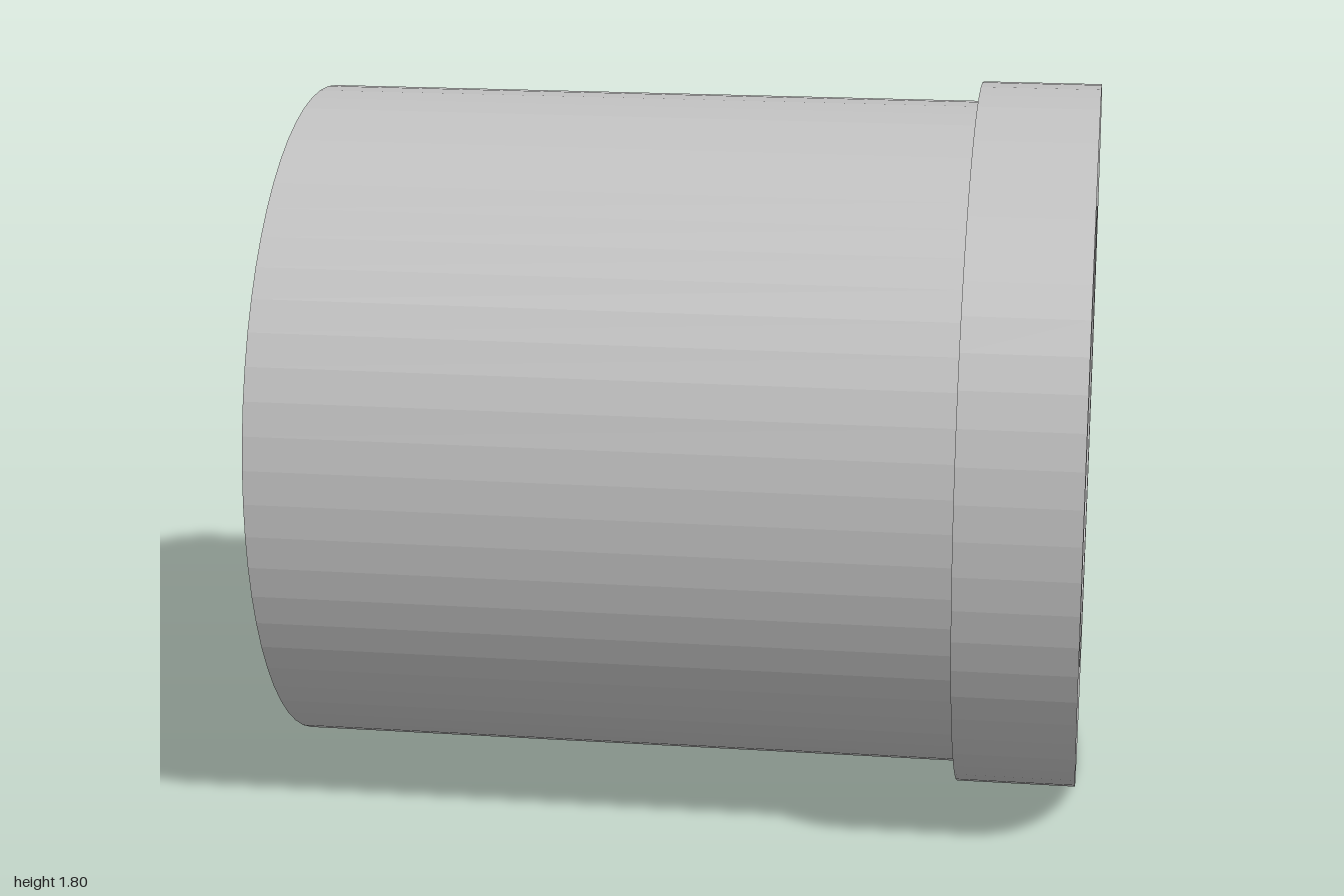
import * as THREE from 'three';
import { RoundedBoxGeometry } from 'three/addons/geometries/RoundedBoxGeometry.js';

const SEGMENTS = 64;
const AXIS_HEIGHT = 0.9;

// Closed ring-shaped solid turned about the x axis; profile is [radius, x]
function turned(name, profile, material) {
  const points = profile.map(([r, x]) => new THREE.Vector2(r, x));
  const mesh = new THREE.Mesh(new THREE.LatheGeometry(points, SEGMENTS), material);
  mesh.rotation.z = -Math.PI / 2;
  mesh.name = name;
  return mesh;
}

export function createModel() {
  const metal = new THREE.MeshStandardMaterial({ color: 0xc0c0c0, flatShading: true });
  metal.name = 'light grey metal';

  const model = new THREE.Group();
  model.name = 'flangedSleeve';

  const body = new THREE.Group();
  body.name = 'body';
  body.position.y = AXIS_HEIGHT;
  model.add(body);

  // Sleeve with its end flange, bore and retaining lip inside the flanged end
  body.add(turned('sleeve', [
    [0.6, -1], [0.85, -1], [0.85, 0.7], [0.9, 0.7], [0.9, 1], [0.6, 1],
    [0.6, 0.95], [0.575, 0.95], [0.575, 0.91], [0.6, 0.91], [0.6, -1],
  ], metal));

  // Square plug with rounded edges, its corners set into the sleeve wall
  const plug = new THREE.Mesh(new RoundedBoxGeometry(0.2, 1.045, 1.045, 4, 0.05), metal);
  plug.name = 'endPlug';
  plug.position.x = -0.835;
  body.add(plug);

  return model;
}
